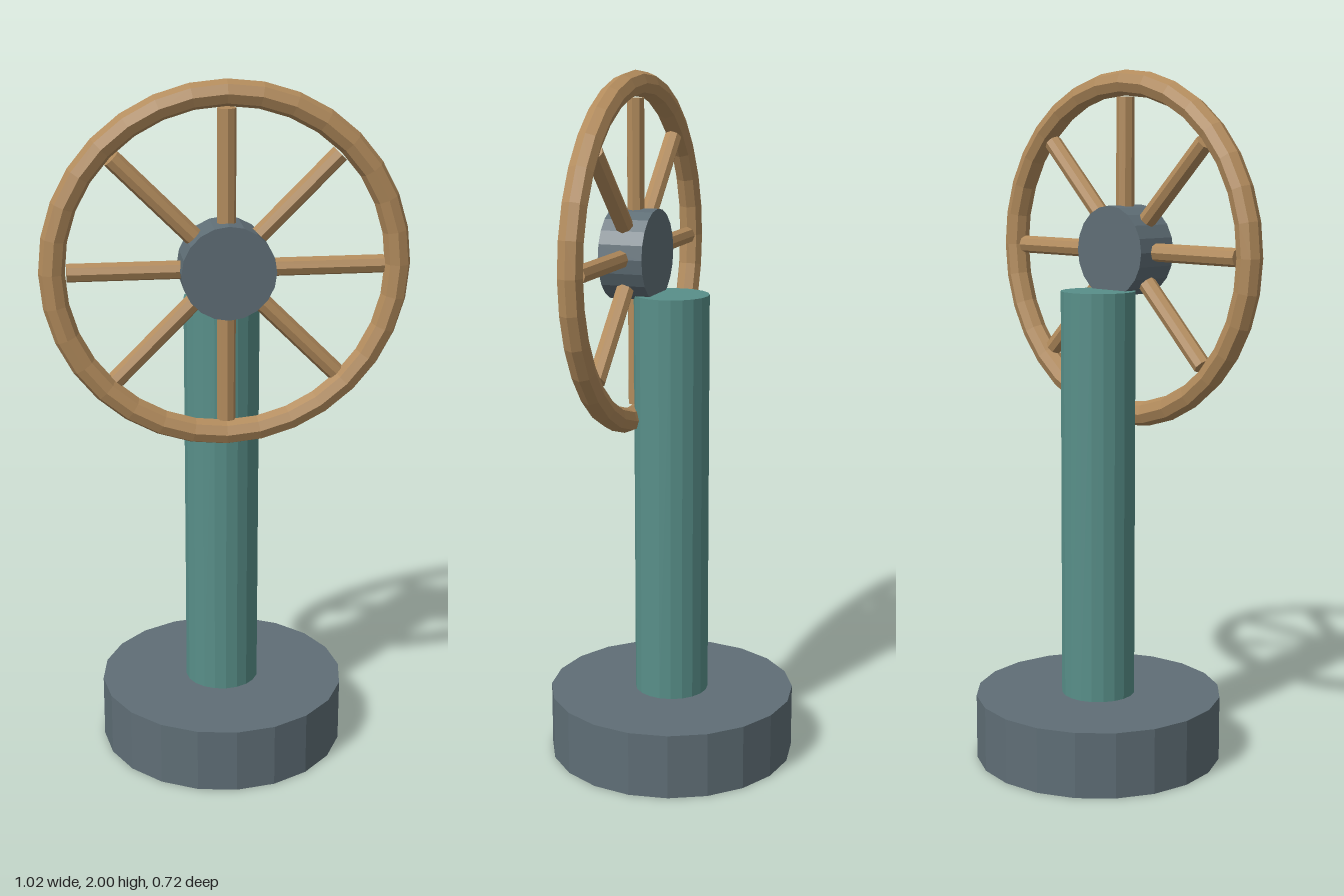
import * as THREE from 'three';

const paint = (name, color) => {
  const m = new THREE.MeshStandardMaterial({ color });
  m.name = name;
  m.flatShading = true;
  return m;
};

export function createModel() {
  const slate = paint('slate', 0x5f6e76);
  const teal = paint('teal', 0x588f89);
  const wood = paint('wood', 0xb28b5c);

  const add = (parent, name, geometry, material, x = 0, y = 0, z = 0) => {
    const mesh = new THREE.Mesh(geometry, material);
    mesh.name = name;
    mesh.position.set(x, y, z);
    parent.add(mesh);
    return mesh;
  };
  const cylinder = (r, h, sides) => new THREE.CylinderGeometry(r, r, h, sides);

  const model = new THREE.Group();
  model.name = 'wheelOnPost';

  // Round foot and upright post
  add(model, 'base', cylinder(0.362, 0.19, 20), slate, 0, 0.095, 0);
  add(model, 'post', cylinder(0.108, 1.19, 20), teal, 0, 0.785, 0);

  // Wheel, facing +z, in front of the post top
  const wheel = new THREE.Group();
  wheel.name = 'wheel';
  wheel.position.set(0, 1.49, 0.107);
  model.add(wheel);

  add(wheel, 'rim', new THREE.TorusGeometry(0.475, 0.036, 8, 32), wood);
  add(wheel, 'hub', cylinder(0.13, 0.13, 20).rotateX(Math.PI / 2), slate);

  // Eight spokes, from inside the hub to just short of the rim
  const inner = 0.05, outer = 0.435;
  const spoke = cylinder(0.026, outer - inner, 8).translate(0, (inner + outer) / 2, 0);
  for (let i = 0; i < 8; i++) {
    add(wheel, 'spoke', spoke, wood).rotation.z = i * Math.PI / 4;
  }

  return model;
}
